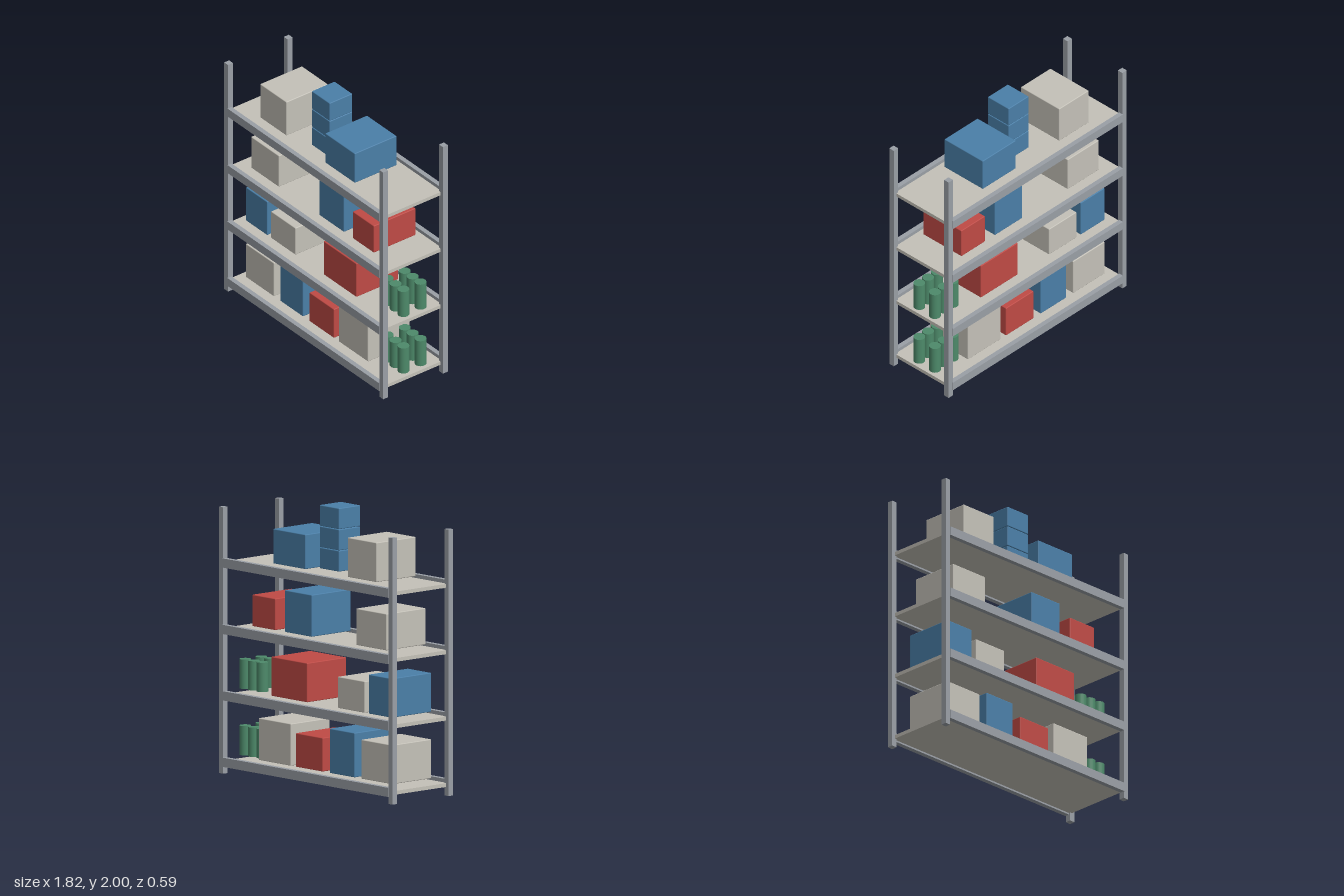
import * as THREE from 'three';
import { RoundedBoxGeometry } from 'three/addons/geometries/RoundedBoxGeometry.js';

const paint = (name, color) => {
  const m = new THREE.MeshStandardMaterial({ color });
  m.name = name;
  return m;
};

export function createModel() {
  const model = new THREE.Group();
  model.name = 'storageRack';
  const steel = paint('steel grey', 0x9a9fa6);
  const pale = paint('pale grey', 0xc4c1b8);
  const blue = paint('blue', 0x4a7fa8);
  const red = paint('red', 0xbf4a45);
  const green = paint('green', 0x4d8a6a);

  const add = (name, geometry, material, x, y, z) => {
    const mesh = new THREE.Mesh(geometry, material);
    mesh.name = name;
    mesh.position.set(x, y, z);
    model.add(mesh);
  };

  // Four corner posts
  const postGeo = new THREE.BoxGeometry(0.044, 1.908, 0.044);
  for (const x of [-0.887, 0.887])
    for (const z of [-0.268, 0.268]) add('post', postGeo, steel, x, 0.954, z);

  // Four shelves: a deck between a front and a back beam
  const levels = [0.083, 0.559, 1.034, 1.51];
  const beamGeo = new THREE.BoxGeometry(1.735, 0.066, 0.036);
  const deckGeo = new THREE.BoxGeometry(1.765, 0.027, 0.53);
  for (const y of levels) {
    add('deck', deckGeo, pale, 0, y - 0.007, 0);
    for (const z of [-0.277, 0.277]) add('beam', beamGeo, steel, 0, y, z);
  }

  // Stored boxes, slightly softened edges: level, left, right, top, colour
  const addBox = (x0, x1, y0, y1, depth, z, material) =>
    add('box', new RoundedBoxGeometry(x1 - x0, y1 - y0, depth, 2, 0.006), material,
      (x0 + x1) / 2, (y0 + y1) / 2, z);
  const boxes = [
    [0, -0.793, -0.470, 0.400, pale],
    [0, -0.400, -0.138, 0.438, blue],
    [0, -0.066, 0.216, 0.361, red],
    [0, 0.268, 0.605, 0.420, pale],
    [1, -0.791, -0.547, 0.876, blue],
    [1, -0.505, -0.224, 0.820, pale],
    [1, 0.096, 0.473, 0.876, red],
    [2, -0.733, -0.414, 1.332, pale],
    [2, 0.048, 0.330, 1.370, blue],
    [2, 0.430, 0.672, 1.296, red],
    [3, -0.629, -0.327, 1.829, pale],
    [3, 0.115, 0.454, 1.794, blue],
  ];
  for (const [level, x0, x1, top, material] of boxes)
    addBox(x0, x1, levels[level] + 0.036, top, 0.376, 0, material);

  // Stack of three small boxes on the top shelf
  for (let i = 0; i < 3; i++) {
    const y = 1.546 + i * 0.152;
    addBox(-0.124, 0.081, y, y + 0.15, 0.205, 0.018, blue);
  }

  // Cans in two rows of three on the lower two shelves
  const canGeo = new THREE.CylinderGeometry(0.042, 0.042, 0.21, 20);
  for (const level of [0, 1])
    for (const x of [0.665, 0.755, 0.845])
      for (const z of [-0.095, 0.058]) add('can', canGeo, green, x, levels[level] + 0.14, z);

  return model;
}
